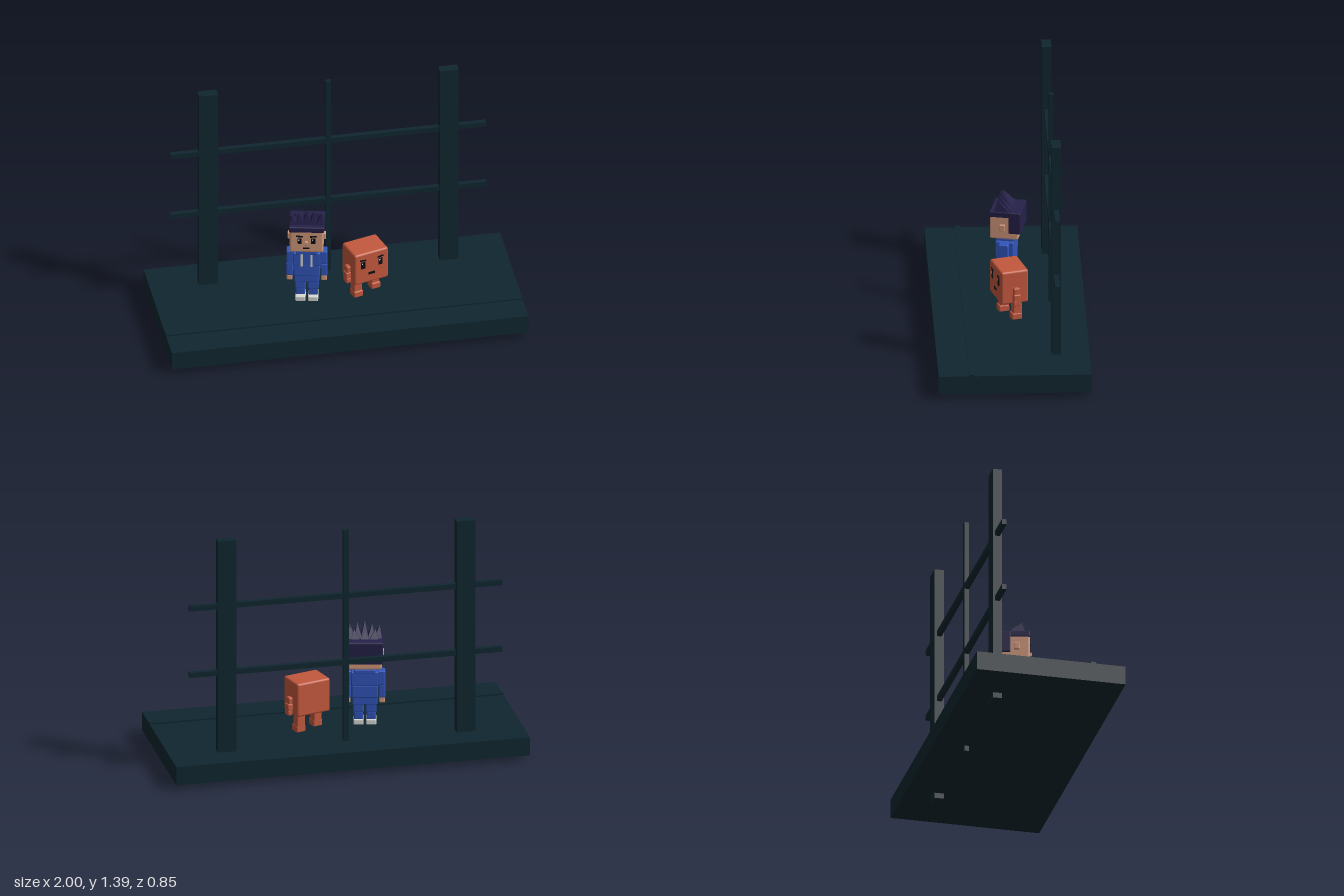
import * as THREE from 'three';
import { RoundedBoxGeometry } from 'three/addons/geometries/RoundedBoxGeometry.js';

function material(name, color) {
  const m = new THREE.MeshStandardMaterial({ color });
  m.name = name;
  return m;
}

export function createModel() {
  const dark = material('dark teal', 0x10262f);
  const orange = material('burnt orange', 0xc2583e);
  const skin = material('skin', 0xd49b7e);
  const hair = material('hair navy', 0x252049);
  const blue = material('suit blue', 0x3156bd);
  const white = material('white', 0xd9d9d6);
  const black = material('black', 0x0c0e14);

  // Centre and size; r > 0 rounds the edges
  function box(parent, name, mat, [x, y, z], [w, h, d], r = 0) {
    const geo = r ? new RoundedBoxGeometry(w, h, d, 2, r) : new THREE.BoxGeometry(w, h, d);
    const mesh = new THREE.Mesh(geo, mat);
    mesh.name = name;
    mesh.position.set(x, y, z);
    parent.add(mesh);
    return mesh;
  }

  // Four-sided spike standing on y, its tip pushed along z by lean
  function spike(parent, name, [x, y, z], [w, h, d], lean, tilt) {
    const geo = new THREE.ConeGeometry(Math.SQRT1_2, 1, 4, 1).toNonIndexed();
    geo.rotateY(Math.PI / 4).translate(0, 0.5, 0).scale(w, h, d);
    const p = geo.attributes.position;
    for (let i = 0; i < p.count; i++) {
      const t = p.getY(i) / h;
      p.setX(i, p.getX(i) + tilt * t);
      p.setZ(i, p.getZ(i) + lean * t);
    }
    geo.computeVertexNormals();
    const mesh = new THREE.Mesh(geo, hair);
    mesh.name = name;
    mesh.position.set(x, y, z);
    parent.add(mesh);
  }

  const model = new THREE.Group();
  model.name = 'diorama';

  // Platform and railing frame
  const stage = new THREE.Group();
  stage.name = 'stage';
  model.add(stage);
  box(stage, 'platform', dark, [0, 0.085, 0], [2, 0.108, 0.845]);
  box(stage, 'floorStrip', dark, [0, 0.14, 0.24], [2, 0.016, 0.03]);
  for (const s of [-1, 1]) box(stage, 'post', dark, [s * 0.675, 0.695, -0.238], [0.105, 1.39, 0.053]);
  box(stage, 'centrePost', dark, [0, 0.695, -0.238], [0.03, 1.39, 0.027]);
  for (const y of [0.605, 1.0]) box(stage, 'rail', dark, [0, y, -0.238], [1.77, 0.03, 0.027]);

  // Block creature
  const creature = new THREE.Group();
  creature.name = 'blockCreature';
  creature.position.set(0.164, 0, 0);
  creature.rotation.y = 0.28;
  model.add(creature);
  box(creature, 'creatureBody', orange, [0, 0.339, 0], [0.208, 0.196, 0.158], 0.012);
  for (const s of [-1, 1]) {
    const z = s > 0 ? -0.022 : 0.012;
    box(creature, 'creatureLeg', orange, [s * 0.062, 0.205, z], [0.05, 0.08, 0.052], 0.007);
    box(creature, 'creatureFoot', orange, [s * 0.062, 0.155, z + 0.004], [0.055, 0.04, 0.06], 0.007);
    const az = s > 0 ? -0.005 : 0.01;
    box(creature, 'creatureUpperArm', orange, [s * 0.112, 0.318, az], [0.028, 0.045, 0.036], 0.006);
    box(creature, 'creatureForearm', orange, [s * 0.116, 0.285, az], [0.034, 0.04, 0.042], 0.006);
    box(creature, 'creatureHand', orange, [s * 0.116, 0.252, az + 0.002], [0.03, 0.032, 0.04], 0.006);
    box(creature, 'creatureEye', black, [s * 0.053, 0.363, 0.079], [0.024, 0.042, 0.006]);
    box(creature, 'creatureEyeGlint', white, [s * 0.053 - 0.005, 0.374, 0.081], [0.007, 0.009, 0.004]);
    box(creature, 'creatureBrow', black, [s * 0.053, 0.395, 0.079], [0.036, 0.008, 0.007])
      .rotation.z = s * 0.12;
  }
  box(creature, 'creatureMouth', black, [0, 0.302, 0.079], [0.038, 0.014, 0.006]);

  // Standing person
  const person = new THREE.Group();
  person.name = 'person';
  person.position.set(-0.163, 0, 0);
  person.rotation.y = -0.22;
  model.add(person);
  for (const s of [-1, 1]) {
    box(person, 'shoe', white, [s * 0.035, 0.152, 0.008], [0.057, 0.034, 0.088], 0.007);
    box(person, 'lowerLeg', blue, [s * 0.035, 0.19, 0], [0.052, 0.05, 0.06], 0.007);
    box(person, 'upperLeg', blue, [s * 0.035, 0.237, 0], [0.06, 0.056, 0.068], 0.007);
    box(person, 'upperArm', blue, [s * 0.093, 0.41, 0], [0.04, 0.085, 0.056], 0.007);
    box(person, 'forearm', blue, [s * 0.095, 0.332, 0.003], [0.038, 0.08, 0.052], 0.007);
    box(person, 'hand', skin, [s * 0.095, 0.278, 0.005], [0.032, 0.036, 0.044], 0.007);
    box(person, 'chestStripe', white, [s * 0.027, 0.407, 0.051], [0.012, 0.078, 0.006]);
  }
  box(person, 'hips', blue, [0, 0.283, 0], [0.138, 0.05, 0.088], 0.007);
  box(person, 'belly', blue, [0, 0.337, 0], [0.145, 0.075, 0.096], 0.007);
  box(person, 'chest', blue, [0, 0.413, 0], [0.152, 0.085, 0.102], 0.007);
  box(person, 'collar', blue, [0, 0.458, 0], [0.12, 0.026, 0.108], 0.007);
  box(person, 'neck', skin, [0, 0.472, 0], [0.065, 0.03, 0.06]);

  // Head and face
  box(person, 'head', skin, [0, 0.555, 0], [0.186, 0.15, 0.16], 0.01);
  for (const s of [-1, 1]) {
    box(person, 'ear', skin, [s * 0.096, 0.55, 0.008], [0.02, 0.038, 0.032], 0.004);
    box(person, 'eye', black, [s * 0.038, 0.556, 0.08], [0.024, 0.034, 0.006]);
    box(person, 'eyeGlint', white, [s * 0.038 - 0.005, 0.564, 0.082], [0.007, 0.009, 0.004]);
    box(person, 'brow', black, [s * 0.038, 0.586, 0.08], [0.038, 0.009, 0.007]).rotation.z = s * 0.1;
  }
  box(person, 'nose', skin, [0, 0.543, 0.084], [0.018, 0.024, 0.016], 0.003);
  box(person, 'mouth', black, [0, 0.509, 0.08], [0.036, 0.009, 0.006]);

  // Hair cap, back block and spiky crest
  box(person, 'hairCap', hair, [0, 0.627, -0.003], [0.194, 0.034, 0.17], 0.006);
  box(person, 'hairBack', hair, [0, 0.58, -0.06], [0.198, 0.126, 0.068], 0.006);
  const heights = [0.06, 0.07, 0.09, 0.08, 0.068];
  heights.forEach((h, i) => {
    const x = (i - 2) * 0.036;
    spike(person, 'hairSpike', [x, 0.64, 0.012], [0.044, h, 0.085], 0.024, x * 0.15);
  });
  for (const x of [-0.05, 0, 0.05]) {
    spike(person, 'rearHairSpike', [x, 0.64, -0.01], [0.05, 0.05, 0.06], 0.015, x * 0.2);
  }

  return model;
}
